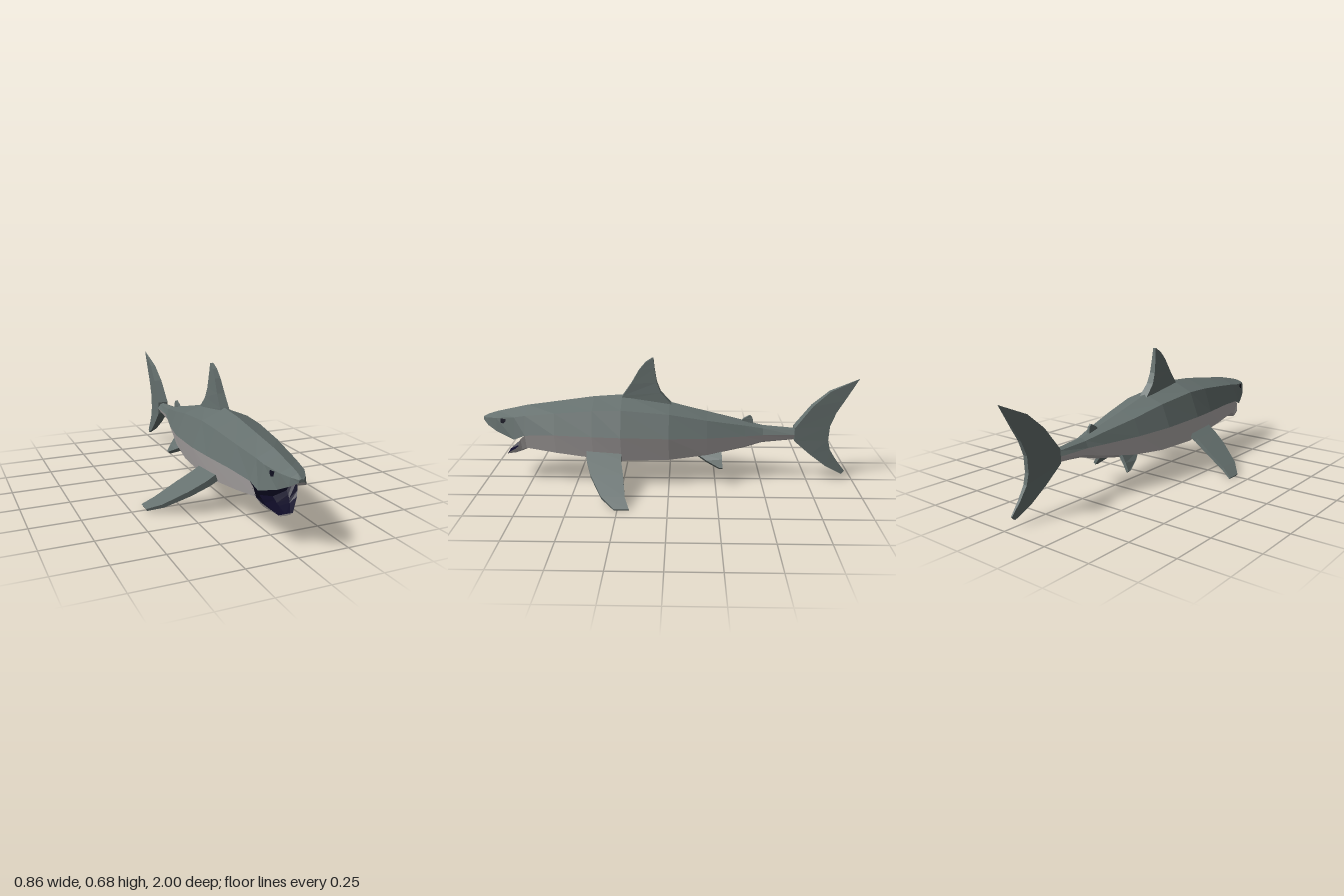
import * as THREE from 'three';

const mat = (name, color) => {
  const m = new THREE.MeshStandardMaterial({ color });
  m.name = name;
  return m;
};

const tri = (out, a, b, c) => out.push(...a, ...b, ...c);
const quad = (out, a, b, c, d) => { tri(out, a, b, c); tri(out, a, c, d); };

// Unshared corners keep every facet flat
function toMesh(name, pos, material) {
  const g = new THREE.BufferGeometry();
  g.setAttribute('position', new THREE.Float32BufferAttribute(pos, 3));
  g.computeVertexNormals();
  const mesh = new THREE.Mesh(g, material);
  mesh.name = name;
  return mesh;
}

// Open skin through rows of points, rows running from back to front
function skin(rows) {
  const out = [];
  for (let i = 0; i + 1 < rows.length; i++)
    for (let j = 0; j + 1 < rows[i].length; j++)
      quad(out, rows[i][j], rows[i][j + 1], rows[i + 1][j + 1], rows[i + 1][j]);
  return out;
}

function fan(pts) {
  const out = [];
  for (let i = 1; i + 1 < pts.length; i++) tri(out, pts[0], pts[i], pts[i + 1]);
  return out;
}

// Arcs across the body: over the back (+x to -x) or under the belly (-x to +x)
const over = (z, side, diag, top) =>
  [[side[0], side[1], z], [diag[0], diag[1], z], [0, top, z], [-diag[0], diag[1], z], [-side[0], side[1], z]];
const under = (z, side, diag, bottom) =>
  [[-side[0], side[1], z], [-diag[0], diag[1], z], [0, bottom, z], [diag[0], diag[1], z], [side[0], side[1], z]];

// Solid fin through stations [lead, trail, leadHalfThickness, trailHalfThickness]
function fin(name, stations, n, upper, lower = upper) {
  const off = (p, t) => p.map((v, k) => v + n[k] * t);
  const rings = stations.map(([a, b, ta, tb]) => [off(a, ta), off(b, tb), off(b, -tb), off(a, -ta)]);
  const top = [], bottom = [];
  for (let i = 0; i + 1 < rings.length; i++)
    for (let j = 0; j < 4; j++) {
      const k = (j + 1) % 4;
      quad(j === 2 ? bottom : top, rings[i][j], rings[i][k], rings[i + 1][k], rings[i + 1][j]);
    }
  top.push(...fan([...rings[0]].reverse()), ...fan(rings[rings.length - 1]));
  // Turn the faces outwards if the enclosed volume is negative
  const all = [...top, ...bottom];
  let volume = 0;
  const at = (i) => new THREE.Vector3().fromArray(all, i).sub(new THREE.Vector3(...stations[0][0]));
  for (let i = 0; i < all.length; i += 9) volume += at(i).dot(at(i + 3).cross(at(i + 6)));
  if (volume < 0)
    for (const list of [top, bottom])
      for (let i = 0; i < list.length; i += 9)
        for (let k = 0; k < 3; k++) [list[i + k], list[i + 3 + k]] = [list[i + 3 + k], list[i + k]];
  const mesh = toMesh(name, [...top, ...bottom], [upper, lower]);
  mesh.geometry.addGroup(0, top.length / 3, 0);
  mesh.geometry.addGroup(top.length / 3, bottom.length / 3, 1);
  return mesh;
}

export function createModel() {
  const grey = mat('backGrey', 0x65706e);
  const pale = mat('bellyPale', 0xbcb7b6);
  const dark = mat('mouthDark', 0x0f0c28);
  const black = mat('eyeBlack', 0x0a0a1c);
  const model = new THREE.Group();
  model.name = 'shark';

  // Body: z, top, upper edge, side, lower edge, bottom
  const body = [
    [-0.67, 0.305, [0.018, 0.298], [0.033, 0.275], [0.018, 0.25], 0.24],
    [-0.5, 0.32, [0.03, 0.31], [0.045, 0.277], [0.03, 0.24], 0.222],
    [-0.4, 0.345, [0.05, 0.332], [0.07, 0.278], [0.05, 0.215], 0.19],
    [-0.2, 0.395, [0.09, 0.37], [0.125, 0.283], [0.09, 0.178], 0.148],
    [0, 0.448, [0.117, 0.41], [0.165, 0.292], [0.117, 0.16], 0.12],
    [0.25, 0.486, [0.125, 0.433], [0.177, 0.3], [0.125, 0.155], 0.108],
    [0.4, 0.475, [0.12, 0.428], [0.165, 0.3], [0.12, 0.168], 0.12],
    [0.6, 0.447, [0.105, 0.408], [0.142, 0.3], [0.105, 0.19], 0.15],
    [0.76, 0.425, [0.085, 0.388], [0.115, 0.288], [0.09, 0.212], 0.185],
  ];
  const back = body.map(([z, t, d, s]) => over(z, s, d, t));
  const belly = body.map(([z, , , s, l, b]) => under(z, s, l, b));

  // Snout: z, top, upper edge, lip, palate height
  const snout = [
    [0.82, 0.412, [0.08, 0.378], [0.105, 0.262], 0.287],
    [0.92, 0.39, [0.06, 0.368], [0.068, 0.296], 0.31],
    [0.97, 0.375, [0.036, 0.362], [0.042, 0.322], 0.335],
    [1, 0.36, [0.012, 0.357], [0.012, 0.345], 0.345],
  ];
  const head = snout.map(([z, t, d, s]) => over(z, s, d, t));
  const throat = back[back.length - 1];
  model.add(toMesh('back', [...skin([...back, ...head]), ...fan(head[3]), ...fan([...back[0]].reverse())], grey));
  const palate = [[0.76, 0, [], [0.115, 0.288], 0.285], ...snout]
    .map(([z, , , s, c]) => [[-s[0], s[1], z], [0, c, z], [s[0], s[1], z]]);
  model.add(toMesh('palate', skin(palate), pale));

  // Lower jaw: z, rim, lower edge, bottom, floor height
  const jaw = [
    [0.785, [0.11, 0.268], [0.085, 0.2], 0.172, 0.19],
    [0.8, [0.103, 0.225], [0.08, 0.19], 0.165, 0.182],
    [0.82, [0.09, 0.206], [0.07, 0.178], 0.16, 0.175],
    [0.88, [0.036, 0.16], [0.026, 0.154], 0.151, 0.157],
  ];
  const chin = jaw.map(([z, r, l, b]) => under(z, r, l, b));
  model.add(toMesh('belly', [...skin([...belly, ...chin]), ...fan(chin[3]), ...fan([...belly[0]].reverse())], pale));

  // Mouth lining: jaw floor and the wall at the throat
  const floor = [[0.762, [0.115, 0.288], [], 0, 0.2], ...jaw]
    .map(([z, r, , , f]) => [[r[0], r[1], z], [r[0] * 0.6, f + 0.2 * (r[1] - f), z], [0, f, z],
      [-r[0] * 0.6, f + 0.2 * (r[1] - f), z], [-r[0], r[1], z]]);
  const wall = fan(under(0.763, [throat[0][0], throat[0][1]], [0.09, 0.212], 0.185));
  model.add(toMesh('mouth', [...skin(floor), ...wall], dark));

  // Eyes: thin faces lying on the sides of the snout
  const mix = (a, b, t) => a.map((v, k) => v + (b[k] - v) * t);
  const onCheek = (u, v, s) => {
    const p = mix(mix(head[0][1], head[0][0], v), mix(head[1][1], head[1][0], v), u);
    return [s * (p[0] + 0.004), p[1], p[2] + 0.001];
  };
  for (const s of [1, -1]) {
    const c = [[0.46, 0.06], [0.46, 0.2], [0.58, 0.33], [0.72, 0.3], [0.74, 0.03]].map(([u, v]) => onCheek(u, v, s));
    model.add(toMesh(s > 0 ? 'leftEye' : 'rightEye', fan(s > 0 ? c.reverse() : c), black));
  }

  // Upright fins, given as [leadZ, leadY, trailZ, trailY, leadT, trailT]
  const upright = (name, rows) => model.add(fin(name,
    rows.map(([az, ay, bz, by, ta, tb]) => [[0, ay, az], [0, by, bz], ta, tb]), [1, 0, 0], grey));
  upright('dorsalFin', [
    [0.26, 0.46, -0.02, 0.43, 0.025, 0.024],
    [0.245, 0.485, 0.045, 0.5, 0.024, 0.02],
    [0.2, 0.55, 0.066, 0.555, 0.021, 0.016],
    [0.16, 0.62, 0.078, 0.63, 0.016, 0.012],
    [0.125, 0.662, 0.081, 0.66, 0.012, 0.01],
    [0.09, 0.686, 0.083, 0.686, 0.008, 0.008],
  ]);
  upright('rearDorsalFin', [
    [-0.38, 0.34, -0.45, 0.325, 0.008, 0.008],
    [-0.4, 0.358, -0.447, 0.352, 0.008, 0.007],
    [-0.43, 0.375, -0.443, 0.365, 0.006, 0.005],
  ]);
  upright('tailFin', [
    [-0.94, 0.043, -0.955, 0.06, 0.007, 0.004],
    [-0.85, 0.09, -0.905, 0.125, 0.015, 0.008],
    [-0.76, 0.16, -0.868, 0.185, 0.023, 0.011],
    [-0.67, 0.24, -0.855, 0.24, 0.03, 0.012],
    [-0.67, 0.31, -0.86, 0.32, 0.03, 0.012],
    [-0.76, 0.43, -0.89, 0.395, 0.023, 0.01],
    [-0.85, 0.51, -0.93, 0.46, 0.014, 0.007],
    [-0.993, 0.574, -1, 0.578, 0.003, 0.001],
  ]);

  // Paired fins
  const slope = (x) => 0.2 - (x - 0.115) * 0.6;
  for (const s of [1, -1]) {
    const side = s > 0 ? 'left' : 'right';
    const pectoral = [
      [0.1, 0.435, 0.25, 0.018], [0.17, 0.428, 0.248, 0.016], [0.25, 0.4, 0.232, 0.014],
      [0.365, 0.335, 0.215, 0.01], [0.427, 0.265, 0.19, 0.006],
    ].map(([x, a, b, t]) => [[s * x, slope(x), a], [s * x, slope(x), b], t, t * 0.8]);
    model.add(fin(side + 'PectoralFin', pectoral, [s * 0.51, 0.86, 0], grey, pale));
    const pelvic = [
      [[s * 0.06, 0.175, -0.14], [s * 0.06, 0.195, -0.28], 0.012, 0.012],
      [[s * 0.09, 0.142, -0.2], [s * 0.09, 0.15, -0.282], 0.012, 0.01],
      [[s * 0.112, 0.112, -0.265], [s * 0.112, 0.112, -0.285], 0.009, 0.008],
    ];
    model.add(fin(side + 'PelvicFin', pelvic, [s * 0.75, 0.66, 0], grey));
  }
  return model;
}
